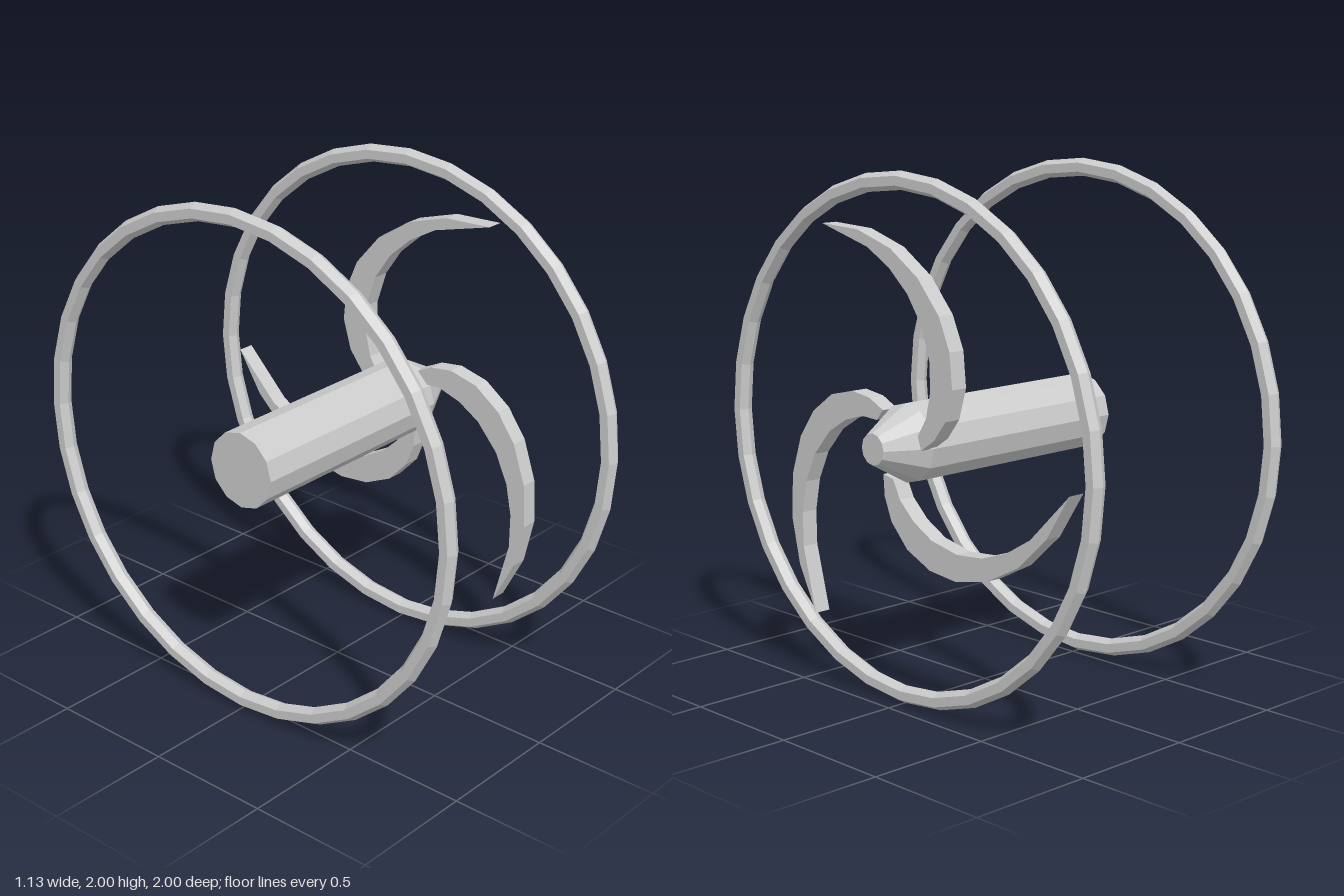
import * as THREE from 'three';

export function createModel() {
  const model = new THREE.Group();
  const metal = new THREE.MeshStandardMaterial({ color: 0xcccccc, flatShading: true });
  metal.name = 'light grey';

  // Built around local z, then turned so the axle runs along x
  const wheelset = new THREE.Group();
  wheelset.name = 'wheelset';
  wheelset.rotation.y = Math.PI / 2;
  wheelset.position.y = 1;
  model.add(wheelset);

  const add = (name, geometry, z) => {
    const mesh = new THREE.Mesh(geometry, metal);
    mesh.name = name;
    mesh.position.z = z;
    wheelset.add(mesh);
    return mesh;
  };
  const drum = (rFront, rBack, length, open) =>
    new THREE.CylinderGeometry(rFront, rBack, length, 12, 1, open).rotateX(Math.PI / 2);

  // Two thin hexagonal-section rims
  const rim = new THREE.TorusGeometry(0.965, 0.035, 6, 32);
  add('rightRim', rim, -0.535);
  add('leftRim', rim, 0.415);

  // Axle with a tapered cap
  add('axle', drum(0.15, 0.15, 0.935), -0.0675);
  add('axleCap', drum(0.06, 0.15, 0.165), 0.4825);

  // Three curved, tapering spokes: outer edge from the tip in, inner edge back out
  const outline = [
    [0.882, -0.043], [0.773, -0.214], [0.636, -0.342], [0.481, -0.422], [0.316, -0.455],
    [0.182, -0.441], [0.059, -0.385], [-0.027, -0.294], [-0.064, -0.203], [-0.07, -0.12],
    [-0.016, -0.13], [0.021, -0.203], [0.096, -0.273], [0.193, -0.326], [0.326, -0.353],
    [0.455, -0.342], [0.578, -0.3], [0.695, -0.23], [0.79, -0.135],
  ].map(([x, y]) => new THREE.Vector2(x, y));
  const spoke = new THREE.ExtrudeGeometry(new THREE.Shape(outline), { depth: 0.068, bevelEnabled: false });
  for (let i = 0; i < 3; i++) {
    add('spoke' + (i + 1), spoke, 0.385).rotation.z = (i * Math.PI * 2) / 3;
  }

  return model;
}
